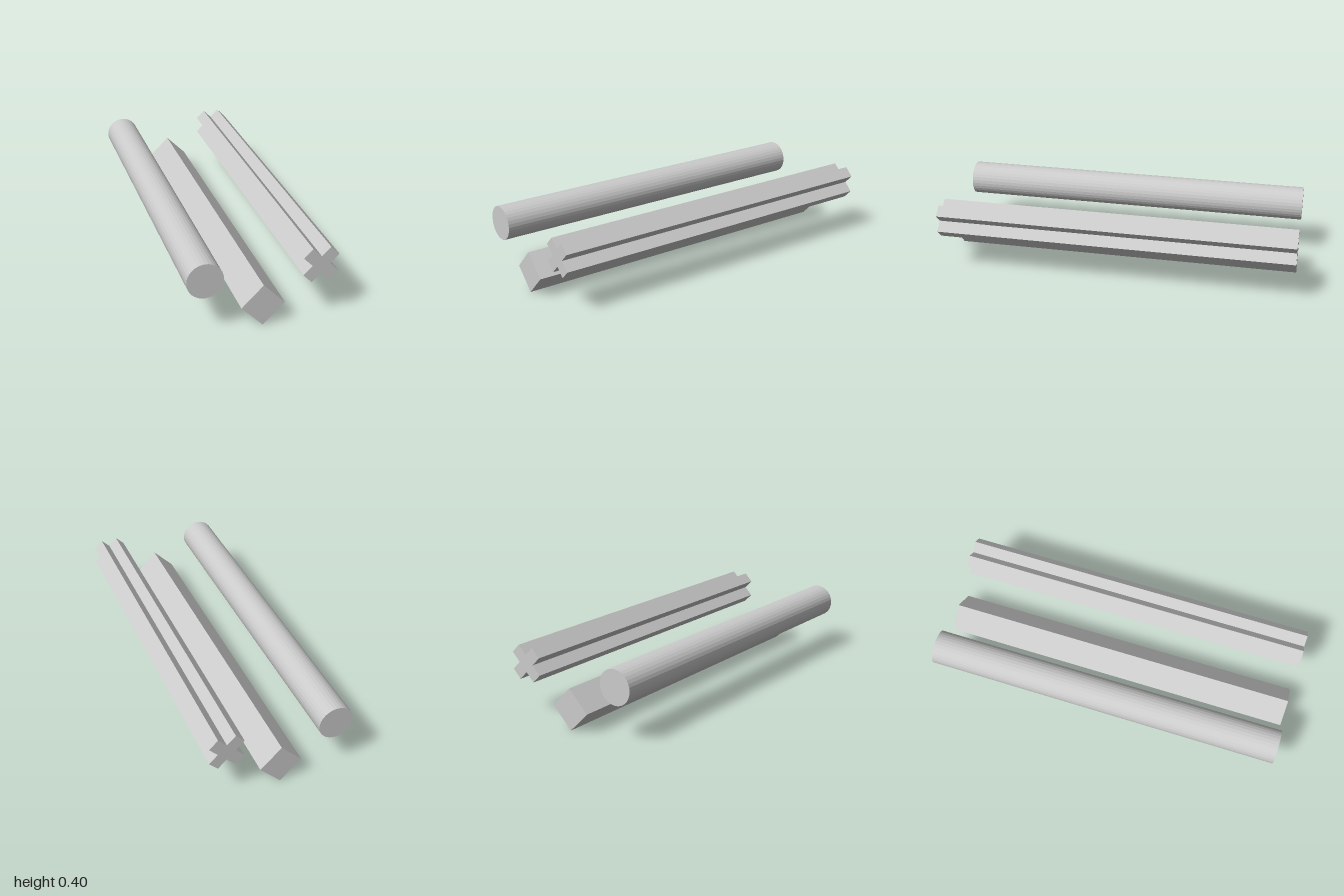
import * as THREE from 'three';

const LENGTH = 2;

export function createModel() {
  const model = new THREE.Group();
  const material = new THREE.MeshStandardMaterial({ color: 0xcccccc, flatShading: true });

  const addBar = (name, geometry, x, y) => {
    const bar = new THREE.Mesh(geometry, material);
    bar.name = name;
    bar.position.set(x, y, 0);
    model.add(bar);
    return bar;
  };

  // Round bar on the model's right
  const round = new THREE.CylinderGeometry(0.095, 0.095, LENGTH, 32).rotateX(Math.PI / 2);
  addBar('roundBar', round, -0.301, 0.302);

  // Square bar standing on its edge
  const side = 0.1145 * Math.SQRT2;
  addBar('squareBar', new THREE.BoxGeometry(side, side, LENGTH), 0, 0.116).rotation.z = Math.PI / 4;

  // Cross-section bar on the model's left: one arm outline turned four times
  const reach = 0.1, half = reach / 3;
  const points = [];
  for (let i = 0; i < 4; i++) {
    for (const [px, py] of [[half, -half], [reach, -half], [reach, half]]) {
      points.push(new THREE.Vector2(px, py).rotateAround(new THREE.Vector2(), i * Math.PI / 2));
    }
  }
  const cross = new THREE.ExtrudeGeometry(new THREE.Shape(points), { depth: LENGTH, bevelEnabled: false });
  cross.translate(0, 0, -LENGTH / 2);
  addBar('crossBar', cross, 0.301, 0.302).rotation.z = Math.PI / 4;

  return model;
}
